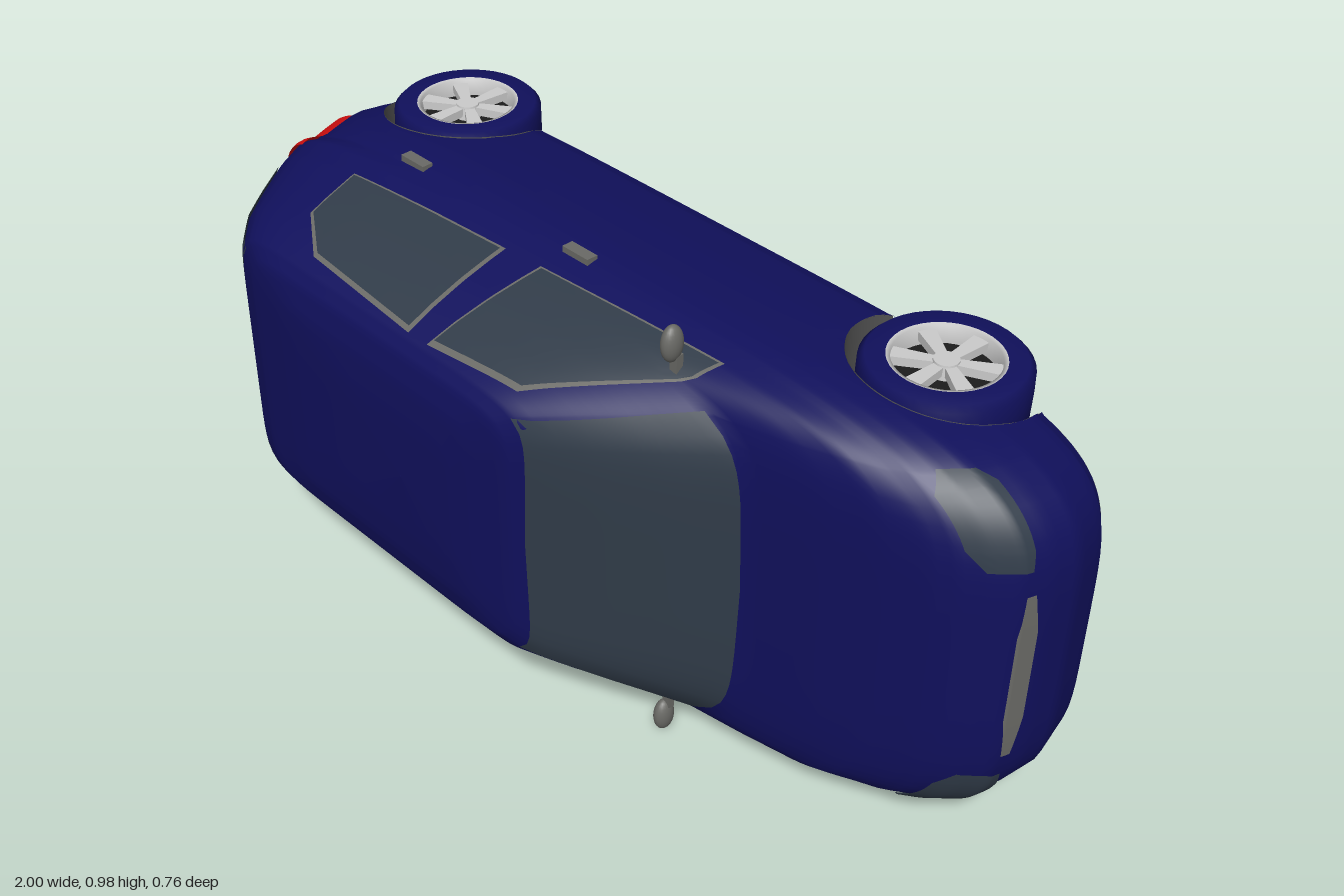
import * as THREE from 'three';

const mat = (color) => new THREE.MeshStandardMaterial({ color, side: THREE.DoubleSide });
const PAINT = mat(0x10105c), GLASS = mat(0x303b48), DARK = mat(0x555555), TRIM = mat(0x6a6a66),
  RED = mat(0xd81010), METAL = mat(0xcccccc), BLACK = mat(0x1c1c1c);

// The car lies on its side: x is its length, z its height, y its width.
// Each level of the body: height z, front x, rear x, half width, squareness.
const LEVELS = [
  [-0.285, 0.955, -0.96, 0.395, 5], [-0.25, 0.98, -0.975, 0.41, 5], [-0.16, 1.0, -0.995, 0.425, 5],
  [-0.1, 0.99, -1.0, 0.431, 5], [-0.04, 0.97, -0.985, 0.436, 5], [0, 0.93, -0.97, 0.435, 5],
  [0.03, 0.89, -0.96, 0.431, 5], [0.05, 0.85, -0.955, 0.426, 5], [0.08, 0.755, -0.945, 0.417, 6],
  [0.105, 0.65, -0.935, 0.408, 6], [0.135, 0.49, -0.92, 0.398, 6], [0.2, 0.38, -0.885, 0.373, 6],
  [0.27, 0.255, -0.835, 0.34, 7], [0.33, 0.14, -0.765, 0.305, 9], [0.352, 0.09, -0.7, 0.275, 9],
  [0.366, 0.0, -0.58, 0.22, 8], [0.373, -0.06, -0.4, 0.14, 6], [0.376, -0.199, -0.201, 0.001, 4],
];
const WHEEL_X = [-0.69, 0.625], WHEEL_Z = -0.225, WELL_R = 0.18;

function level(z) {
  let i = 0;
  while (i < LEVELS.length - 2 && z > LEVELS[i + 1][0]) i++;
  const A = LEVELS[i], B = LEVELS[i + 1];
  const t = THREE.MathUtils.clamp((z - A[0]) / (B[0] - A[0]), 0, 1);
  const [f, r, w, n] = [1, 2, 3, 4].map((k) => A[k] + (B[k] - A[k]) * t);
  return { mid: (f + r) / 2, half: (f - r) / 2, w, n };
}

// Points on the body skin: by direction, by (x, z) on a side, by (y, z) on an end.
function around(c, s, z, grow = 0) {
  const L = level(z);
  const k = (1 + grow) / Math.pow(Math.abs(c) ** L.n + Math.abs(s) ** L.n, 1 / L.n);
  return [L.mid + L.half * c * k, L.w * s * k, z];
}
function sideW(x, z) {
  const L = level(z);
  return L.w * Math.pow(Math.max(0, 1 - Math.abs((x - L.mid) / L.half) ** L.n), 1 / L.n);
}
function endX(y, z, end) {
  const L = level(z);
  return L.mid + end * L.half * Math.pow(Math.max(0, 1 - Math.abs(y / L.w) ** L.n), 1 / L.n);
}
const floorZ = (x) => -0.285 + 0.063 * THREE.MathUtils.smoothstep(-x, 0.5, 0.87);

function meshFrom(name, pos, idx, material) {
  const g = new THREE.BufferGeometry();
  g.setAttribute('position', new THREE.Float32BufferAttribute(pos, 3));
  g.setIndex(idx);
  g.computeVertexNormals();
  const m = new THREE.Mesh(g, material);
  m.name = name;
  return m;
}

// A curved sheet: map(u, v) gives the point for u, v in 0..1
function sheet(name, nu, nv, map, material, flip = false) {
  const pos = [], idx = [];
  for (let j = 0; j <= nv; j++) for (let i = 0; i <= nu; i++) pos.push(...map(i / nu, j / nv));
  for (let j = 0; j < nv; j++) for (let i = 0; i < nu; i++) {
    const a = j * (nu + 1) + i, b = a + 1, c = a + nu + 1, d = c + 1;
    if (flip) idx.push(a, d, b, a, c, d);
    else idx.push(a, b, d, a, d, c);
  }
  return meshFrom(name, pos, idx, material);
}

function along(line, t) {
  const f = t * (line.length - 1), i = Math.min(Math.floor(f), line.length - 2), k = f - i;
  return [0, 1].map((c) => line[i][c] + (line[i + 1][c] - line[i][c]) * k);
}

// A panel on the skin, ruled between a low and a high polyline
function panel(name, low, high, map, material, flip = false) {
  return sheet(name, 24, 12, (u, v) => {
    const a = along(low, u), b = along(high, u);
    return map(a[0] + (b[0] - a[0]) * v, a[1] + (b[1] - a[1]) * v);
  }, material, flip);
}

function bodyShell() {
  const ring = [], NX = 90, NY = 24;
  for (let i = 0; i < NY; i++) ring.push([1, -1 + (2 * i) / NY]);
  for (let i = 0; i < NX; i++) ring.push([1 - (2 * i) / NX, 1]);
  for (let i = 0; i < NY; i++) ring.push([-1, 1 - (2 * i) / NY]);
  for (let i = 0; i < NX; i++) ring.push([-1 + (2 * i) / NX, -1]);
  const pos = [], inside = [], idx = [], N = ring.length, SUB = 4;
  const rows = (LEVELS.length - 1) * SUB;
  for (let j = 0; j <= rows; j++) {
    const k = Math.min(Math.floor(j / SUB), LEVELS.length - 2);
    const z0 = LEVELS[k][0] + (LEVELS[k + 1][0] - LEVELS[k][0]) * (j / SUB - k);
    for (const [c, s] of ring) {
      let [x, y, z] = around(c, s, z0);
      z = Math.max(z, floorZ(x));
      // Vertices inside a wheel opening move out to its rim
      const wx = WHEEL_X.find((w) => Math.hypot(x - w, z - WHEEL_Z) < WELL_R && Math.abs(y) > 0.3);
      inside.push(wx !== undefined);
      if (wx !== undefined) {
        const d = Math.hypot(x - wx, z - WHEEL_Z) || 1;
        x = wx + ((x - wx) / d) * WELL_R;
        z = WHEEL_Z + ((z - WHEEL_Z) / d) * WELL_R;
      }
      pos.push(x, y, z);
    }
  }
  const tri = (a, b, c) => { if (!(inside[a] && inside[b] && inside[c])) idx.push(a, b, c); };
  for (let j = 0; j < rows; j++) for (let i = 0; i < N; i++) {
    const a = j * N + i, b = j * N + ((i + 1) % N);
    tri(a, b, b + N);
    tri(a, b + N, a + N);
  }
  return meshFrom('bodyShell', pos, idx, PAINT);
}

// Flat floor with cutouts for the wheels
function underside() {
  return sheet('underside', 200, 2, (u, v) => {
    const x = -0.002 + 0.957 * Math.sin((u - 0.5) * Math.PI), z = floorZ(x);
    let w = sideW(x, z);
    if (WHEEL_X.some((c) => Math.abs(x - c) < 0.172)) w = Math.min(w, 0.3);
    return [x, w * (v * 2 - 1), z];
  }, DARK, true);
}

function wheel() {
  const g = new THREE.Group();
  g.name = 'wheel';
  const add = (name, geo, material) => {
    const m = new THREE.Mesh(geo, material);
    m.name = name;
    g.add(m);
    return m;
  };
  const loop = (pts) => new THREE.LatheGeometry(pts.map((p) => new THREE.Vector2(...p)), 40);
  add('tire', loop([[0.108, -0.052], [0.145, -0.052], [0.157, -0.04], [0.158, 0], [0.157, 0.04],
    [0.145, 0.052], [0.108, 0.052]]), PAINT);
  add('rimBarrel', loop([[0.108, 0.052], [0.1, 0.05], [0.096, 0.02], [0.096, -0.045], [0.108, -0.052]]), METAL);
  add('rimBack', new THREE.CylinderGeometry(0.097, 0.097, 0.006, 32), BLACK).position.y = 0.012;
  add('innerRim', new THREE.CylinderGeometry(0.097, 0.097, 0.004, 32), METAL).position.y = -0.02;
  add('hub', new THREE.CylinderGeometry(0.024, 0.028, 0.03, 20), METAL).position.y = 0.032;
  // Spokes flare towards the rim
  const s = new THREE.Shape([[-0.01, 0.015], [0.01, 0.015], [0.017, 0.1], [-0.017, 0.1]].map((p) => new THREE.Vector2(...p)));
  const spoke = new THREE.ExtrudeGeometry(s, { depth: 0.018, bevelEnabled: false }).rotateX(-Math.PI / 2);
  for (let i = 0; i < 6; i++) {
    const m = add('spoke', spoke, METAL);
    m.position.y = 0.025;
    m.rotation.y = (i * Math.PI) / 3;
  }
  return g;
}

export function createModel() {
  const car = new THREE.Group();
  car.name = 'car';
  car.position.y = 0.49;
  car.add(bodyShell(), underside());

  // Front and rear glass, grille and rear strip
  const onEnd = (end) => (y, z) => [endX(y, z, end) + end * 0.006, y, z];
  car.add(
    panel('windshield', [[-0.36, 0.142], [0, 0.137], [0.36, 0.142]], [[-0.28, 0.335], [0, 0.338], [0.28, 0.335]], onEnd(1), GLASS),
    panel('rearWindow', [[-0.31, 0.135], [0.31, 0.135]], [[-0.265, 0.335], [0.265, 0.335]], onEnd(-1), GLASS, true),
    panel('grille', [[-0.19, -0.063], [-0.1, -0.075], [0.1, -0.075], [0.19, -0.063]],
      [[-0.19, -0.045], [-0.1, -0.037], [0.1, -0.037], [0.19, -0.045]], onEnd(1), TRIM),
    panel('rearStrip', [[-0.13, 0.015], [0.13, 0.015]], [[-0.12, 0.085], [0.12, 0.085]], onEnd(-1), RED, true),
  );

  const WINDOWS = [
    ['rearSideWindow', [[-0.63, 0.125], [-0.4, 0.11], [-0.185, 0.1]], [[-0.63, 0.24], [-0.535, 0.305], [-0.21, 0.325]]],
    ['frontSideWindow', [[-0.09, 0.095], [0.14, 0.085], [0.375, 0.076]], [[-0.155, 0.325], [0.08, 0.305], [0.35, 0.12]]],
  ];
  for (const side of [1, -1]) {
    const onSide = (lift) => (x, z) => [x, side * (sideW(x, z) + lift), z];
    for (const [name, low, high] of WINDOWS) {
      const all = [...low, ...high];
      const cx = all.reduce((t, p) => t + p[0], 0) / 6, cz = all.reduce((t, p) => t + p[1], 0) / 6;
      const shrink = (line) => line.map(([x, z]) => [cx + (x - cx) * 0.965, cz + (z - cz) * 0.93]);
      car.add(panel(name + 'Frame', low, high, onSide(0.003), TRIM, side > 0));
      car.add(panel(name, shrink(low), shrink(high), onSide(0.006), GLASS, side > 0));
    }

    // Lamps wrap round the corners; the first value is an angle in degrees
    const onCorner = (end) => (deg, z) => {
      const a = THREE.MathUtils.degToRad(deg);
      return around(end * Math.cos(a), side * Math.sin(a), z, 0.008);
    };
    car.add(panel('headlight', [[29, -0.055], [33, -0.063], [44, -0.063], [46, -0.045]],
      [[29, 0.005], [33, 0.024], [42, 0.03], [46, 0.005]], onCorner(1), GLASS, side < 0));
    car.add(panel('tailLight', [[36, -0.04], [45.5, -0.04]], [[33, 0.085], [45.5, 0.1]], onCorner(-1), RED, side > 0));

    // Door handles
    for (const x of [-0.54, -0.05]) {
      const handle = new THREE.Mesh(new THREE.BoxGeometry(0.07, 0.014, 0.025), TRIM);
      handle.name = 'doorHandle';
      handle.position.set(x, side * (sideW(x, 0.032) + 0.003), 0.032);
      car.add(handle);
    }

    // Door mirror on a short arm
    const mirror = new THREE.Mesh(new THREE.SphereGeometry(1, 20, 14), TRIM);
    mirror.name = 'doorMirror';
    mirror.scale.set(0.018, 0.038, 0.024);
    mirror.position.set(0.3, side * 0.452, 0.133);
    const arm = new THREE.Mesh(new THREE.BoxGeometry(0.018, 0.06, 0.016), TRIM);
    arm.name = 'mirrorArm';
    arm.position.set(0.305, side * 0.4, 0.126);
    car.add(mirror, arm);

    // Wheels in their wells
    for (const wx of WHEEL_X) {
      car.add(sheet('wheelWell', 32, 3, (u, v) => {
        const a = -1.9 + 3.8 * u;
        const x = wx + WELL_R * Math.sin(a), z = WHEEL_Z + WELL_R * Math.cos(a);
        return [x, side * (0.29 + (sideW(x, z) + 0.002 - 0.29) * v), z];
      }, DARK, side > 0));
      const back = sheet('wellWall', 32, 1, (u, v) => {
        const a = -1.9 + 3.8 * u;
        return [wx + WELL_R * v * Math.sin(a), side * 0.29, WHEEL_Z + WELL_R * v * Math.cos(a)];
      }, DARK, side > 0);
      const w = wheel();
      w.position.set(wx, side * 0.368, WHEEL_Z);
      if (side < 0) w.rotation.x = Math.PI;
      car.add(back, w);
    }
  }

  const model = new THREE.Group();
  model.name = 'model';
  model.add(car);
  return model;
}
